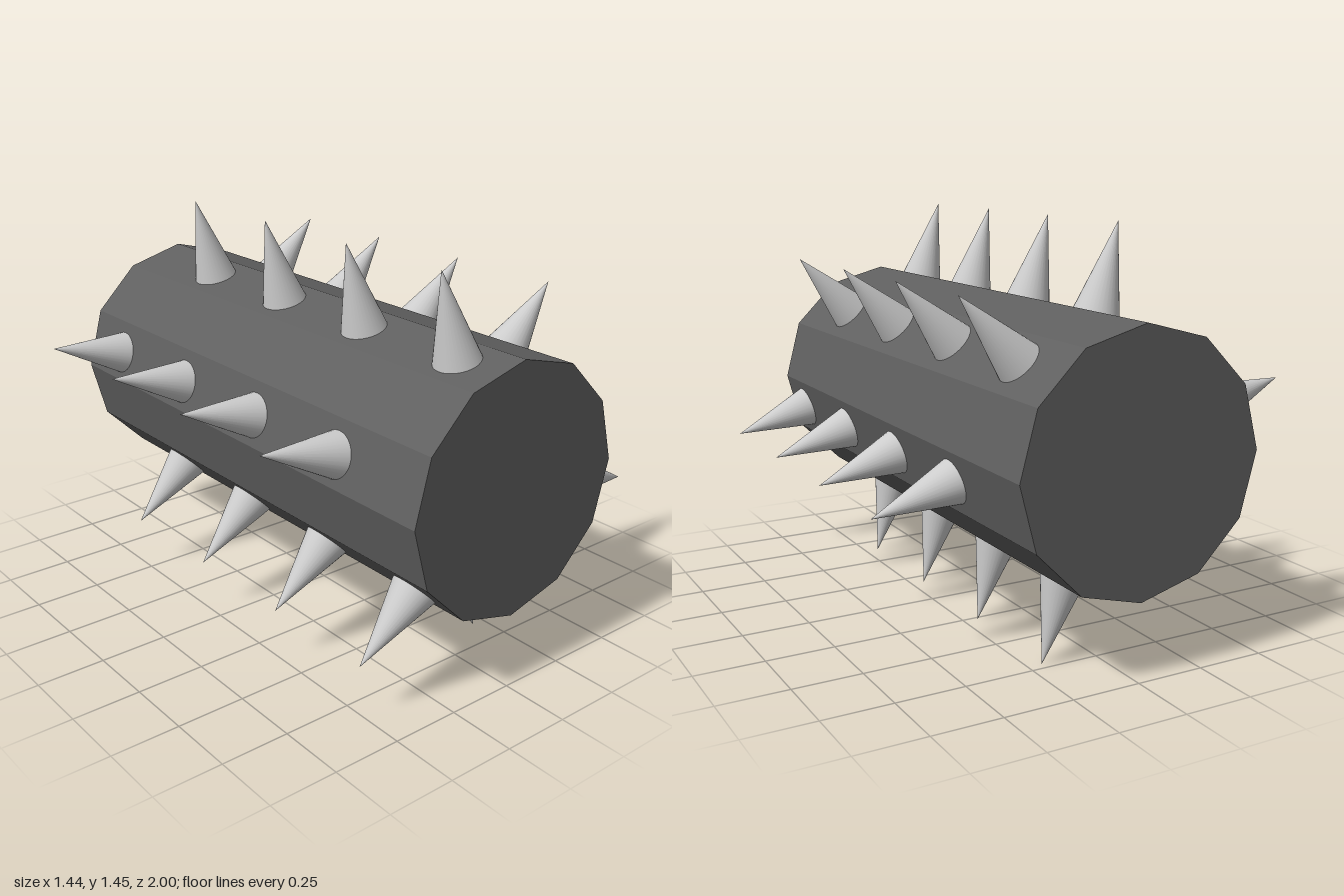
import * as THREE from 'three';

const CENTER_Y = 0.725;
const STEP = 0.4535; // spacing of spikes along a row

// Point at a given angle and radius around the barrel axis
function polar(degrees, radius, z) {
  const a = THREE.MathUtils.degToRad(degrees);
  return new THREE.Vector3(Math.cos(a) * radius, Math.sin(a) * radius, z);
}

export function createModel() {
  const group = new THREE.Group();
  group.name = 'spikedRoller';
  const dark = new THREE.MeshStandardMaterial({ color: 0x606060, flatShading: true });
  const grey = new THREE.MeshStandardMaterial({ color: 0xcccccc });

  // Twelve-sided barrel lying along z, with a corner pointing up
  const barrel = new THREE.Mesh(new THREE.CylinderGeometry(0.45, 0.45, 2, 12), dark);
  barrel.name = 'barrel';
  barrel.rotation.x = Math.PI / 2;
  barrel.position.y = CENTER_Y;
  group.add(barrel);

  // Unit-height cone, base at the origin and tip along +y
  const cone = new THREE.ConeGeometry(0.09, 1, 32).translate(0, 0.5, 0);
  const up = new THREE.Vector3(0, 1, 0);

  // Rows of spikes: base angle, tip angle, tip radius, z of the foremost spike
  const rows = [
    [46, 46.2, 0.742, 0.625],
    [104.8, 104.9, 0.753, 0.812],
    [166, 166, 0.742, 0.583],
    [226.5, 224.3, 0.74, 0.846],
    [285.4, 285.2, 0.751, 0.641],
    [345.3, 344.7, 0.746, 0.845],
  ];
  for (const [baseAngle, tipAngle, tipRadius, firstZ] of rows) {
    const row = new THREE.Group();
    row.name = 'spikeRow';
    row.position.y = CENTER_Y;
    for (let i = 0; i < 4; i++) {
      const z = firstZ - i * STEP;
      const base = polar(baseAngle, 0.4, z);
      const axis = polar(tipAngle, tipRadius, z).sub(base);
      const spike = new THREE.Mesh(cone, grey);
      spike.name = 'spike';
      spike.position.copy(base);
      spike.scale.y = axis.length();
      spike.quaternion.setFromUnitVectors(up, axis.normalize());
      row.add(spike);
    }
    group.add(row);
  }
  return group;
}
